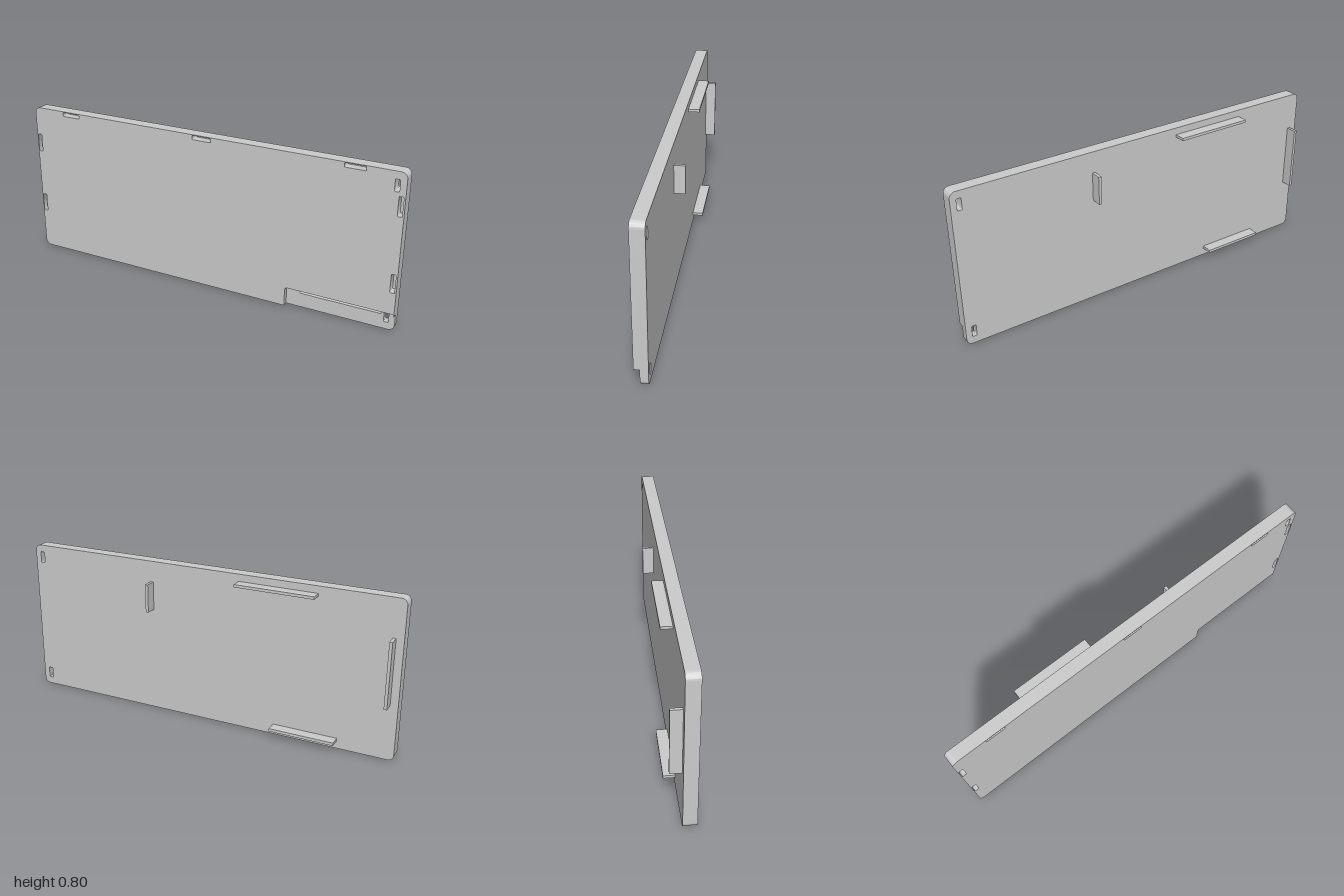
import * as THREE from 'three';
import { toCreasedNormals } from 'three/addons/utils/BufferGeometryUtils.js';

const material = new THREE.MeshStandardMaterial({ color: 0xcccccc });
const R = 0.03; // outer corner radius

// Rounded rectangle from corner coordinates
function roundRect(x0, x1, y0, y1, r, Type = THREE.Shape) {
  const s = new Type();
  s.absarc(x1 - r, y0 + r, r, -Math.PI / 2, 0);
  s.absarc(x1 - r, y1 - r, r, 0, Math.PI / 2);
  s.absarc(x0 + r, y1 - r, r, Math.PI / 2, Math.PI);
  s.absarc(x0 + r, y0 + r, r, Math.PI, Math.PI * 1.5);
  s.closePath();
  return s;
}

const slot = ([x0, x1, y0, y1]) => roundRect(x0, x1, y0, y1, 0.004, THREE.Path);

// Extrude an outline with holes between two z planes
function slab(name, shape, holes, z0, z1) {
  shape.holes = holes.map(slot);
  const geo = new THREE.ExtrudeGeometry(shape, { depth: z1 - z0, bevelEnabled: false, curveSegments: 8 });
  const mesh = new THREE.Mesh(toCreasedNormals(geo, 0.6), material);
  mesh.position.z = z0;
  mesh.name = name;
  return mesh;
}

// Front outline with the lower corner stepped away
function steppedOutline() {
  const s = new THREE.Shape();
  s.moveTo(0.455, 0);
  s.lineTo(0.455, 0.085);
  s.absarc(0.47, 0.085, 0.015, Math.PI, Math.PI / 2, true);
  s.lineTo(0.987, 0.1);
  s.quadraticCurveTo(1, 0.1, 1, 0.087);
  s.absarc(1 - R, 0.8 - R, R, 0, Math.PI / 2);
  s.absarc(-1 + R, 0.8 - R, R, Math.PI / 2, Math.PI);
  s.absarc(-1 + R, R, R, Math.PI, Math.PI * 1.5);
  s.closePath();
  return s;
}

export function createModel() {
  const model = new THREE.Group();
  model.name = 'coverPanel';

  // Openings: through slots, blind clip pockets, and a groove in the step
  const upperSlot = [0.947, 0.97, 0.705, 0.763];
  const lowerSlot = [0.947, 0.97, 0.037, 0.095];
  const pockets = [];
  for (const x of [-0.82, -0.055, 0.715]) pockets.push([x, x + 0.1, 0.775, 0.796]);
  for (const y of [0.21, 0.557]) pockets.push([-0.995, -0.973, y, y + 0.095]);
  for (const y of [0.21, 0.59]) pockets.push([0.97, 0.992, y, y + 0.095]);
  const groove = [0.525, 0.933, 0.074, 0.091];

  // Panel in three layers
  const plate = () => roundRect(-1, 1, 0, 0.8, R);
  model.add(
    slab('panelBack', plate(), [upperSlot, lowerSlot], -0.005, 0.015),
    slab('panelCore', plate(), [upperSlot, lowerSlot, groove, ...pockets], 0.015, 0.033),
    slab('panelFront', steppedOutline(), [upperSlot, ...pockets], 0.033, 0.06)
  );

  // Locating ribs on the back: x and y extents
  const ribs = {
    upperRib: [-0.59, -0.19, 0.75, 0.764],
    lowerRib: [-0.72, -0.39, 0.038, 0.053],
    endRib: [-0.962, -0.947, 0.28, 0.61],
    middleRib: [0.28, 0.295, 0.548, 0.693],
  };
  for (const [name, [x0, x1, y0, y1]] of Object.entries(ribs)) {
    const rib = new THREE.Mesh(new THREE.BoxGeometry(x1 - x0, y1 - y0, 0.056), material);
    rib.position.set((x0 + x1) / 2, (y0 + y1) / 2, -0.032);
    rib.name = name;
    model.add(rib);
  }
  return model;
}
